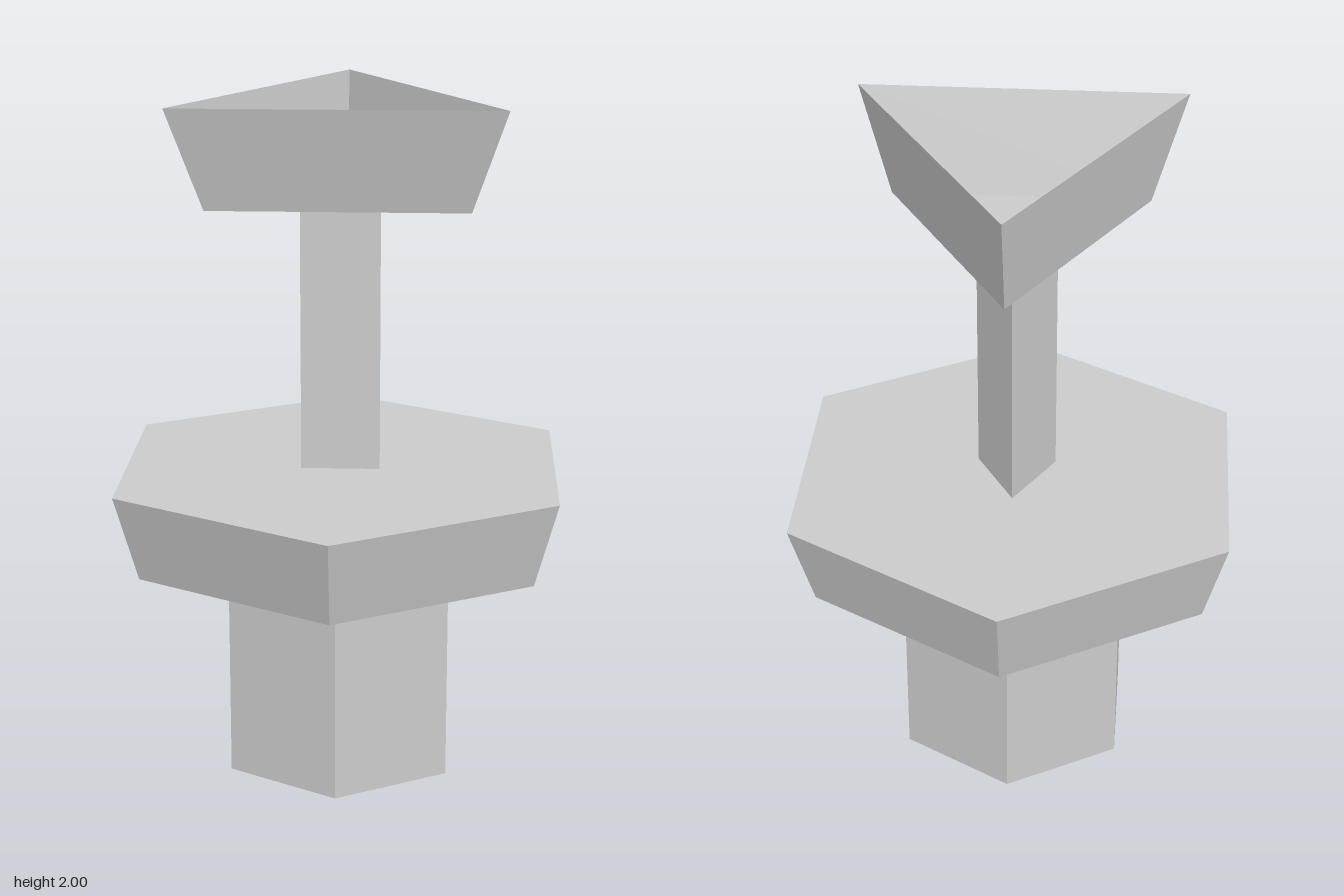
import * as THREE from 'three';

const material = new THREE.MeshStandardMaterial({
  color: 0xcccccc, flatShading: true, side: THREE.DoubleSide,
});

function addMesh(group, name, geometry) {
  const mesh = new THREE.Mesh(geometry, material);
  mesh.name = name;
  group.add(mesh);
  return mesh;
}

// Faceted prism from y0 to y1; turn = 0 puts a corner at +z, Math.PI at -z.
function prism(sides, rBottom, rTop, y0, y1, turn = 0, open = false) {
  return new THREE.CylinderGeometry(rTop, rBottom, y1 - y0, sides, 1, open, turn)
    .translate(0, (y0 + y1) / 2, 0);
}

export function createModel() {
  const model = new THREE.Group();
  model.name = 'pedestal';

  // Hollow hexagonal foot, open underneath
  addMesh(model, 'foot', prism(6, 0.37, 0.37, 0, 0.655, 0, true));

  // Two crossed ribs inside the foot
  for (const turn of [0, Math.PI / 2]) {
    const rib = new THREE.PlaneGeometry(0.354, 0.655)
      .translate(0, 0.3275, 0).rotateY(turn);
    addMesh(model, turn ? 'ribLengthwise' : 'ribCrosswise', rib);
  }

  // Flared hexagonal plate
  addMesh(model, 'plate', prism(6, 0.65, 0.725, 0.655, 0.91));

  // Triangular stem, flat side to the front
  addMesh(model, 'stem', prism(3, 0.133, 0.133, 0.91, 1.705, Math.PI, true))
    .position.z = -0.012;

  // Open triangular cup: thin flared walls leaning slightly forward
  const cup = new THREE.Group();
  cup.name = 'cup';
  model.add(cup);
  const floorZ = 0.007, rimZ = 0.033, floorY = 1.705, rimY = 2;
  const walls = prism(3, 0.428, 0.54, floorY, rimY, Math.PI, true);
  const p = walls.attributes.position;
  for (let i = 0; i < p.count; i++) {
    const t = (p.getY(i) - floorY) / (rimY - floorY);
    p.setZ(i, p.getZ(i) + THREE.MathUtils.lerp(floorZ, rimZ, t));
  }
  walls.computeVertexNormals();
  addMesh(cup, 'cupWalls', walls);
  addMesh(cup, 'cupFloor', new THREE.CircleGeometry(0.428, 3, Math.PI / 2)
    .rotateX(-Math.PI / 2).translate(0, floorY, floorZ));

  return model;
}
